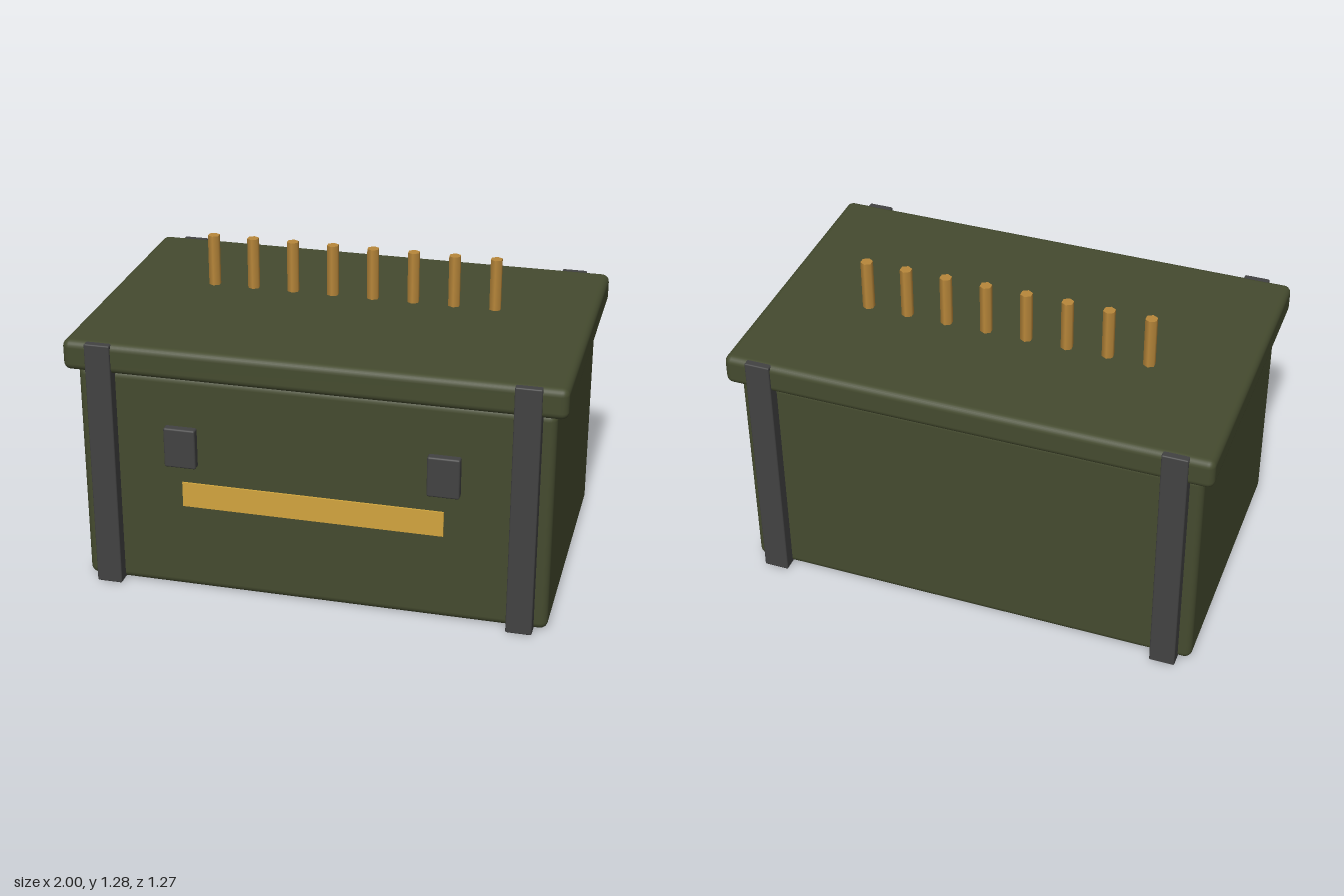
import * as THREE from 'three';
import { RoundedBoxGeometry } from 'three/addons/geometries/RoundedBoxGeometry.js';

const paint = (name, color) => {
  const m = new THREE.MeshStandardMaterial({ color });
  m.name = name;
  return m;
};

export function createModel() {
  const olive = paint('olive', 0x454b2f);
  const darkMetal = paint('darkMetal', 0x424242);
  const yellow = paint('yellow', 0xd2a53e);
  const brass = paint('brass', 0xb8873a);

  const model = new THREE.Group();
  model.name = 'ammunitionBox';

  const add = (name, geometry, material, x, y, z) => {
    const mesh = new THREE.Mesh(geometry, material);
    mesh.name = name;
    mesh.position.set(x, y, z);
    model.add(mesh);
  };
  const rounded = (w, h, d, r) => new RoundedBoxGeometry(w, h, d, 3, r);

  // Body and overhanging lid
  add('body', rounded(1.91, 0.94, 1.17, 0.032), olive, 0, 0.47, 0);
  add('lid', rounded(2, 0.127, 1.254, 0.03), olive, 0, 1.0005, 0);

  // Straps and front latches, mirrored left and right
  for (const side of [-1, 1]) {
    const label = side > 0 ? 'left' : 'right';
    add(label + 'Strap', rounded(0.105, 1.059, 1.272, 0.006), darkMetal, side * 0.85, 0.5325, 0);
    add(label + 'Latch', rounded(0.13, 0.17, 0.06, 0.008), darkMetal, side * 0.532, 0.64, 0.587);
  }

  // Thin marking plate on the front
  add('frontStripe', new THREE.BoxGeometry(1.066, 0.106, 0.009), yellow, 0, 0.427, 0.5885);

  // Row of cartridges standing on the lid
  const cartridge = new THREE.CylinderGeometry(0.0255, 0.0255, 0.23, 6);
  for (let i = 0; i < 8; i++) {
    add('cartridge' + (i + 1), cartridge, brass, -0.597 + i * 0.1702, 1.165, -0.106);
  }
  return model;
}
